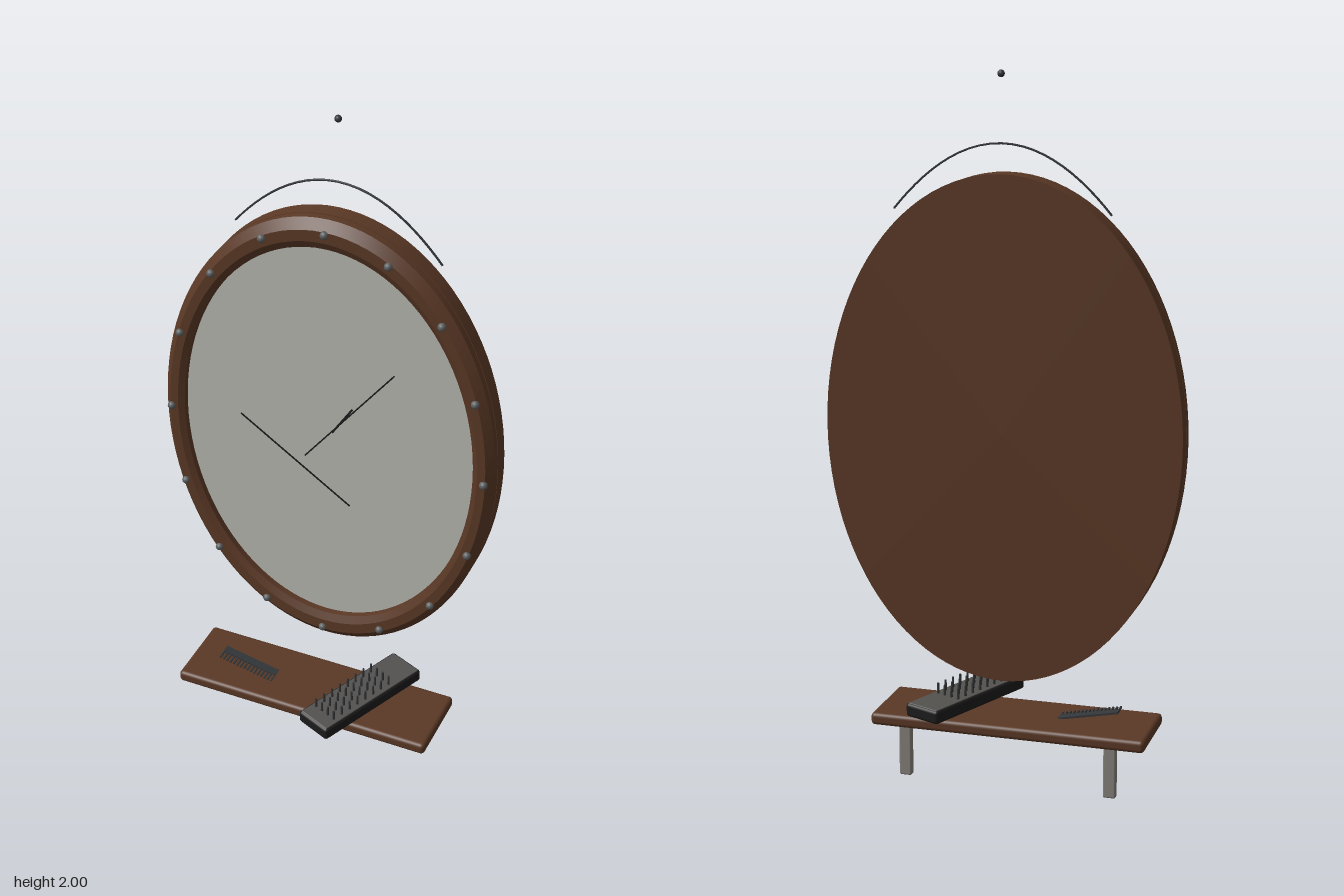
import * as THREE from 'three';
import { toCreasedNormals } from 'three/addons/utils/BufferGeometryUtils.js';
import { RoundedBoxGeometry } from 'three/addons/geometries/RoundedBoxGeometry.js';

const material = (name, color) => {
  const m = new THREE.MeshStandardMaterial({ color });
  m.name = name;
  return m;
};

export function createModel() {
  const wood = material('brown wood', 0x5a3825);
  const glassMat = material('silvered glass', 0xb6b6b0);
  const iron = material('dark iron', 0x34373a);
  const steel = material('stud steel', 0x5c5f60);
  const bracketMat = material('bracket metal', 0x85807a);
  const black = material('black', 0x1c1b1b);
  const padMat = material('brush pad grey', 0x54524f);

  const root = new THREE.Group();
  root.name = 'wallMirrorWithShelf';
  const add = (parent, name, geometry, mat, x = 0, y = 0, z = 0) => {
    const mesh = new THREE.Mesh(geometry, mat);
    mesh.name = name;
    mesh.position.set(x, y, z);
    parent.add(mesh);
    return mesh;
  };
  const group = (name, x, y, z) => {
    const g = new THREE.Group();
    g.name = name;
    g.position.set(x, y, z);
    root.add(g);
    return g;
  };

  // Oval mirror: round parts facing +z, stretched vertically
  const mirror = group('mirror', 0, 1.03, 0);
  const oval = (name, geometry, mat, z) => {
    geometry.rotateX(Math.PI / 2);
    geometry.scale(1, 1.4, 1);
    return add(mirror, name, geometry, mat, 0, 0, z);
  };
  oval('backBoard', new THREE.CylinderGeometry(0.5, 0.5, 0.048, 96), wood, -0.146);
  oval('glass', new THREE.CylinderGeometry(0.45, 0.45, 0.018, 96), glassMat, -0.114);
  const profile = [
    [0.44, -0.119], [0.5, -0.119], [0.5, -0.097], [0.48, -0.075],
    [0.456, -0.075], [0.44, -0.086], [0.44, -0.119],
  ].map(([r, z]) => new THREE.Vector2(r, z));
  oval('frame', toCreasedNormals(new THREE.LatheGeometry(profile, 96), 0.5), wood, 0);

  // Studs around the frame
  const studGeo = new THREE.SphereGeometry(0.012, 12, 8);
  for (let i = 0; i < 16; i++) {
    const a = (i / 16) * Math.PI * 2;
    add(mirror, 'stud', studGeo, steel, 0.476 * Math.cos(a), 0.664 * Math.sin(a), -0.074);
  }

  // Cracks lying on the glass
  const cracks = [
    [-0.27, 1.042, 0.07, 0.815, 0.004],
    [-0.07, 0.952, 0.196, 1.291, 0.004],
    [0.014, 1.055, 0.074, 1.148, 0.006],
  ];
  for (const [x1, y1, x2, y2, w] of cracks) {
    const crack = add(root, 'crack', new THREE.BoxGeometry(Math.hypot(x2 - x1, y2 - y1), w, 0.003),
      black, (x1 + x2) / 2, (y1 + y2) / 2, -0.104);
    crack.rotation.z = Math.atan2(y2 - y1, x2 - x1);
  }

  // Hanging wire and nail
  const arc = new THREE.QuadraticBezierCurve3(
    new THREE.Vector3(-0.3, 1.63, -0.16),
    new THREE.Vector3(0, 1.99, -0.16),
    new THREE.Vector3(0.3, 1.63, -0.16),
  );
  add(root, 'hangingWire', new THREE.TubeGeometry(arc, 24, 0.003, 6), iron);
  add(root, 'nail', new THREE.SphereGeometry(0.01, 12, 8), iron, 0, 1.99, -0.16);

  // Shelf with two brackets
  add(root, 'shelf', new RoundedBoxGeometry(0.8, 0.036, 0.24, 3, 0.012), wood, 0, 0.163, -0.02);
  for (const side of [-1, 1]) {
    add(root, 'bracket', new RoundedBoxGeometry(0.036, 0.15, 0.024, 2, 0.005), bracketMat,
      side * 0.3, 0.075, -0.118);
  }

  // Brush lying bristles up, turned on the shelf
  const brush = group('brush', 0.157, 0.19, 0);
  brush.rotation.y = -0.4;
  add(brush, 'brushBody', new RoundedBoxGeometry(0.118, 0.04, 0.392, 3, 0.01), black, 0, 0.02, 0);
  add(brush, 'brushPad', new RoundedBoxGeometry(0.106, 0.006, 0.38, 2, 0.003), padMat, 0, 0.038, 0);
  const bristleGeo = new THREE.CylinderGeometry(0.003, 0.004, 0.032, 6);
  for (let row = 0; row < 8; row++) {
    for (let col = 0; col < 4; col++) {
      add(brush, 'bristle', bristleGeo, iron, (col - 1.5) * 0.025, 0.056, 0.033 + (row - 3.5) * 0.032);
    }
  }

  // Comb leaning on the shelf, teeth to the front
  const comb = group('comb', -0.212, 0.198, 0);
  comb.rotation.z = -0.2;
  add(comb, 'combSpine', new THREE.BoxGeometry(0.178, 0.006, 0.025), iron, 0, 0, -0.018);
  const toothGeo = new THREE.BoxGeometry(0.005, 0.005, 0.03);
  for (let i = 0; i < 16; i++) {
    add(comb, 'combTooth', toothGeo, iron, (i - 7.5) * 0.0115, 0, 0.008);
  }

  return root;
}
